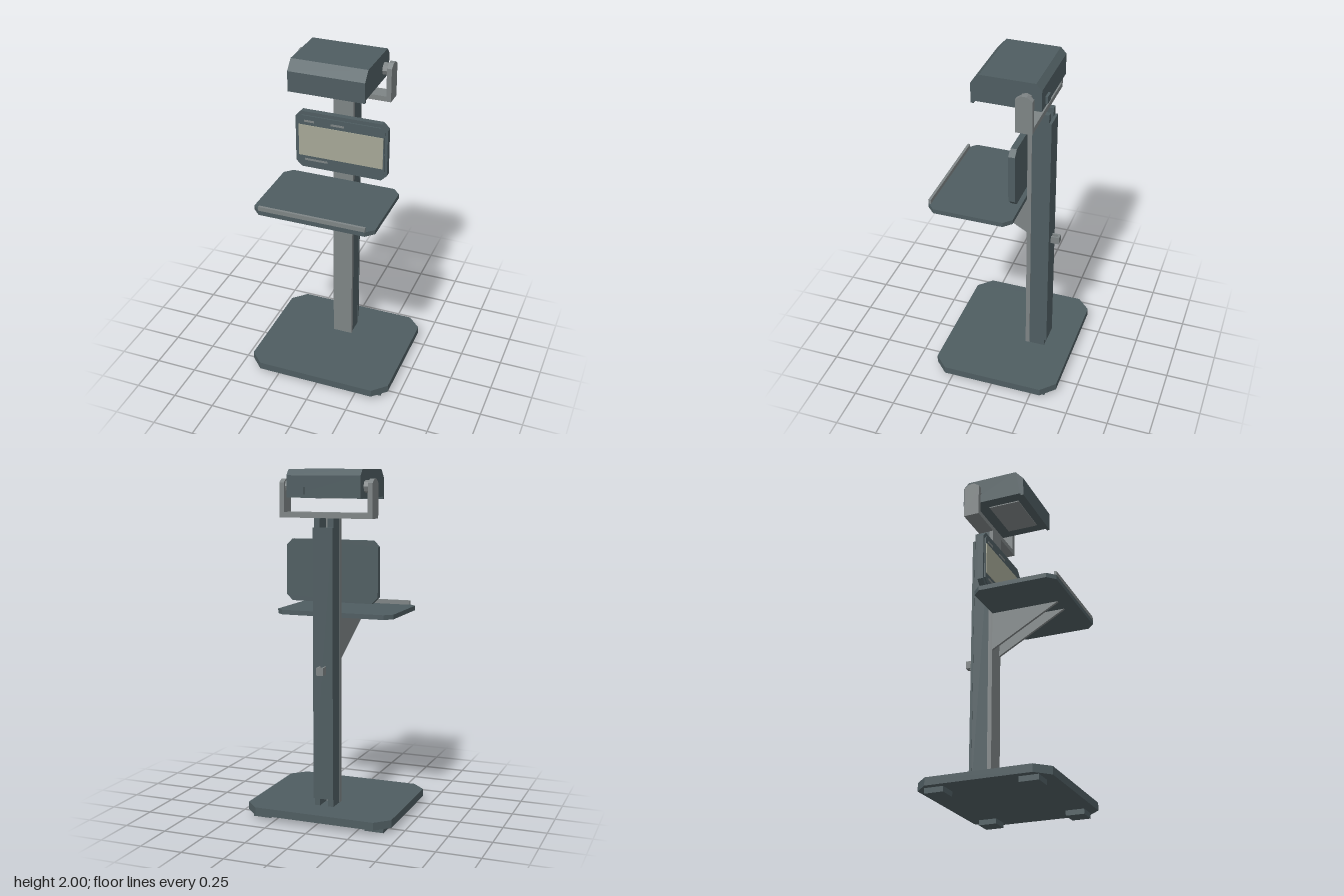
import * as THREE from 'three';

export function createModel() {
  const model = new THREE.Group();
  model.name = 'kioskStand';

  const slate = new THREE.MeshStandardMaterial({ color: 0x4f5d61 });
  slate.name = 'slate';
  const steel = new THREE.MeshStandardMaterial({ color: 0x7e8485 });
  steel.name = 'steelGrey';
  const beige = new THREE.MeshStandardMaterial({ color: 0xa5a796 });
  beige.name = 'screenBeige';

  function add(name, geometry, material, parent = model) {
    const mesh = new THREE.Mesh(geometry, material);
    mesh.name = name;
    parent.add(mesh);
    return mesh;
  }

  // Box given by its extents on each axis
  function box(name, material, [x0, x1], [y0, y1], [z0, z1], parent) {
    const g = new THREE.BoxGeometry(x1 - x0, y1 - y0, z1 - z0);
    g.translate((x0 + x1) / 2, (y0 + y1) / 2, (z0 + z1) / 2);
    return add(name, g, material, parent);
  }

  function extrude(points, depth) {
    const shape = new THREE.Shape(points.map(([x, y]) => new THREE.Vector2(x, y)));
    return new THREE.ExtrudeGeometry(shape, { depth, bevelEnabled: false });
  }

  // Rectangle with cut corners
  function cutRect(x0, x1, y0, y1, c) {
    return [
      [x0 + c, y0], [x1 - c, y0], [x1, y0 + c], [x1, y1 - c],
      [x1 - c, y1], [x0 + c, y1], [x0, y1 - c], [x0, y0 + c],
    ];
  }

  // Horizontal slab with cut corners
  function slab(name, halfX, z0, z1, y0, y1, c) {
    const g = extrude(cutRect(-halfX, halfX, -z1, -z0, c), y1 - y0);
    g.rotateX(-Math.PI / 2).translate(0, y0, 0);
    return add(name, g, slate);
  }

  // Side profile of [z, y] points extruded across x
  function sideProfile(name, points, x0, x1, material, parent) {
    const g = extrude(points, x1 - x0);
    g.rotateY(-Math.PI / 2).translate(x1, 0, 0);
    return add(name, g, material, parent);
  }

  // Base and feet
  slab('base', 0.44, -0.395, 0.37, 0.03, 0.075, 0.08);
  for (const x of [-0.345, 0.345]) {
    for (const z of [-0.28, 0.255]) {
      box('foot', slate, [x - 0.055, x + 0.055], [0, 0.03], [z - 0.055, z + 0.055]);
    }
  }

  // Post: front plate, side rails and rear cover
  const post = new THREE.Group();
  post.name = 'post';
  model.add(post);
  box('postFront', steel, [-0.06, 0.06], [0.075, 1.73], [-0.13, -0.105], post);
  for (const s of [-1, 1]) {
    const xs = [s * 0.025, s * 0.058].sort((a, b) => a - b);
    box('postRail', slate, xs, [0.075, 1.73], [-0.225, -0.13], post);
  }
  box('postRearCover', slate, [-0.06, 0.06], [0.12, 1.68], [-0.24, -0.225], post);

  // Cable hook at the rear
  const hook = new THREE.Group();
  hook.name = 'cableHook';
  model.add(hook);
  box('hookArm', steel, [-0.02, -0.01], [0.855, 0.9], [-0.29, -0.24], hook);
  box('hookArm', steel, [0.01, 0.02], [0.855, 0.9], [-0.29, -0.24], hook);
  box('hookEnd', steel, [-0.01, 0.01], [0.855, 0.9], [-0.29, -0.277], hook);

  // Shelf, front lip and triangular brackets
  slab('shelf', 0.357, -0.105, 0.393, 1.163, 1.19, 0.045);
  box('shelfLip', steel, [-0.313, 0.313], [1.19, 1.215], [0.378, 0.393]);
  for (const x of [-0.052, 0.052]) {
    sideProfile('shelfBracket', [[-0.105, 0.93], [0.305, 1.163], [-0.105, 1.163]],
      x - 0.008, x + 0.008, steel);
  }

  // Display panel
  const panel = new THREE.Group();
  panel.name = 'displayPanel';
  model.add(panel);
  const back = extrude(cutRect(-0.278, 0.278, 1.25, 1.605, 0.035), 0.035);
  add('panelBody', back.translate(0, 0, -0.105), slate, panel);
  const bezel = extrude(cutRect(-0.262, 0.262, 1.272, 1.583, 0.025), 0.008);
  add('panelBezel', bezel.translate(0, 0, -0.07), slate, panel);
  box('screen', beige, [-0.255, 0.255], [1.33, 1.525], [-0.062, -0.058], panel);
  for (const [x0, x1, y] of [[-0.22, -0.16, 1.55], [-0.06, 0.02, 1.55], [-0.22, -0.08, 1.305]]) {
    box('panelMark', steel, [x0, x1], [y - 0.006, y + 0.006], [-0.062, -0.06], panel);
  }

  // Yoke with pivots
  const yoke = new THREE.Group();
  yoke.name = 'yoke';
  model.add(yoke);
  box('yokeBar', steel, [-0.25, 0.25], [1.73, 1.76], [-0.2, -0.105], yoke);
  const arm = [[-0.2, 1.73], [-0.105, 1.73], [-0.105, 1.925], [-0.137, 1.947],
    [-0.168, 1.947], [-0.2, 1.925]];
  for (const s of [-1, 1]) {
    sideProfile('yokeArm', arm, s > 0 ? 0.25 : -0.278, s > 0 ? 0.278 : -0.25, steel, yoke);
    const pivot = new THREE.CylinderGeometry(0.036, 0.036, 0.04, 8).toNonIndexed();
    pivot.computeVertexNormals();
    pivot.rotateZ(Math.PI / 2).translate(s * 0.235, 1.905, -0.15);
    add('pivot', pivot, steel, yoke);
  }

  // Scanner head with front lip, underside window and rear button
  const head = new THREE.Group();
  head.name = 'scannerHead';
  model.add(head);
  sideProfile('headHousing', [
    [-0.232, 1.842], [0.14, 1.842], [0.143, 1.828], [0.16, 1.828], [0.16, 1.945],
    [0.11, 2], [-0.2, 2], [-0.232, 1.965],
  ], -0.22, 0.22, slate, head);
  box('headWindow', steel, [-0.15, 0.15], [1.836, 1.842], [-0.09, 0.1], head);
  box('headButton', slate, [0.11, 0.162], [1.86, 1.902], [-0.246, -0.232], head);

  return model;
}
